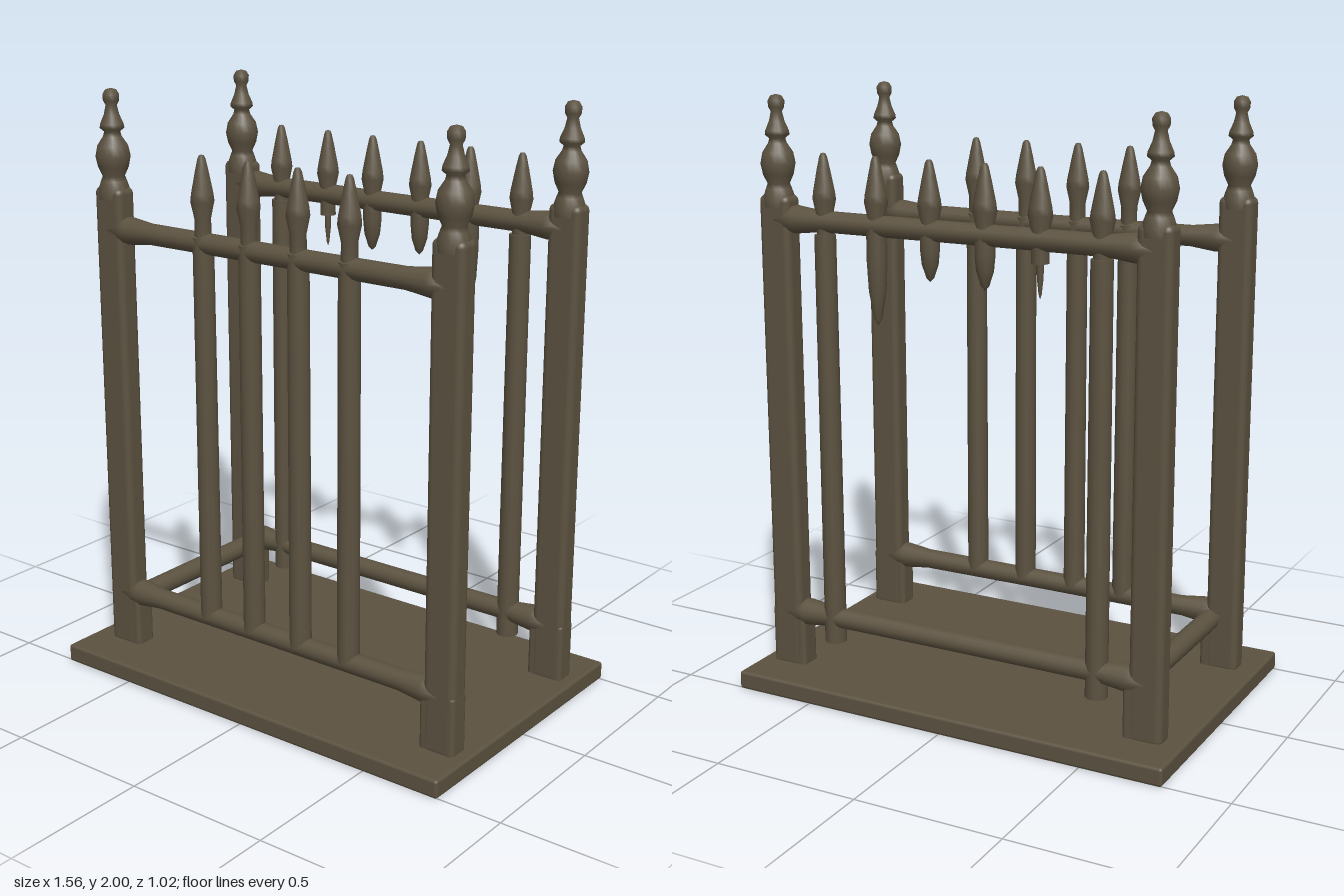
import * as THREE from 'three';
import { RoundedBoxGeometry } from 'three/addons/geometries/RoundedBoxGeometry.js';

export function createModel() {
  const group = new THREE.Group();
  const iron = new THREE.MeshStandardMaterial({ color: 0x5c5240 });
  iron.name = 'dark bronze';

  const add = (name, geometry, x, y, z) => {
    const mesh = new THREE.Mesh(geometry, iron);
    mesh.name = name;
    mesh.position.set(x, y, z);
    group.add(mesh);
    return mesh;
  };
  const lathe = (pairs, sides) =>
    new THREE.LatheGeometry(pairs.map(([r, y]) => new THREE.Vector2(r, y)), sides);

  const LEFT = 0.68, RIGHT = -0.655, DEPTH = 0.325;

  // Base slab
  add('base', new RoundedBoxGeometry(1.56, 0.062, 1.02, 2, 0.01), 0, 0.034, 0);

  // Corner posts with a wider foot and a turned finial
  const post = new RoundedBoxGeometry(0.115, 1.63, 0.08, 3, 0.022);
  const foot = new RoundedBoxGeometry(0.128, 0.22, 0.078, 3, 0.015);
  const finial = lathe([
    [0.05, 1.64], [0.052, 1.67], [0.042, 1.70], [0.036, 1.715], [0.05, 1.745], [0.057, 1.78],
    [0.05, 1.815], [0.03, 1.845], [0.026, 1.86], [0.04, 1.872], [0.038, 1.885], [0.025, 1.915],
    [0.018, 1.945], [0.026, 1.96], [0.027, 1.98], [0.018, 1.995], [0, 2.0],
  ], 16);
  for (const x of [RIGHT, LEFT]) {
    for (const z of [DEPTH, -DEPTH]) {
      add('post', post, x, 0.865, z);
      add('postFoot', foot, x + (x < 0 ? 0.012 : -0.006), 0.155, z);
      add('finial', finial, x, 0, z);
    }
  }

  // Rails, flared where they meet the posts
  const half = (LEFT - RIGHT) / 2;
  const rail = lathe([
    [0, -half], [0.04, -half], [0.046, -half + 0.07], [0.035, -half + 0.16],
    [0.034, 0], [0.035, half - 0.16], [0.046, half - 0.07], [0.04, half], [0, half],
  ], 14);
  const addRail = (name, y, z) => {
    add(name, rail, (LEFT + RIGHT) / 2, y, z).rotation.z = -Math.PI / 2;
  };
  addRail('frontTopRail', 1.54, DEPTH);
  addRail('frontBottomRail', 0.25, DEPTH);
  addRail('backTopRail', 1.602, -DEPTH);
  addRail('backBottomRail', 0.25, -DEPTH);

  // Single low cross rail on the right side
  const cross = new THREE.CylinderGeometry(0.035, 0.035, 2 * DEPTH, 14);
  add('sideRail', cross, -0.612, 0.233, 0).rotation.x = Math.PI / 2;

  // Pickets and their spear points
  const spear = lathe([
    [0.028, 1.53], [0.027, 1.62], [0.039, 1.675], [0.036, 1.70],
    [0.022, 1.77], [0.013, 1.81], [0.008, 1.82], [0, 1.822],
  ], 10);
  const addPicket = (x, z, bottom) => {
    const top = 1.56;
    add('picket', new THREE.CylinderGeometry(0.035, 0.037, top - bottom, 12), x, (top + bottom) / 2, z);
    add('spearPoint', spear, x, 0, z);
  };
  for (const x of [-0.27, -0.08, 0.115, 0.31]) addPicket(x, DEPTH, 0.25);
  for (const x of [-0.475, 0.505]) addPicket(x, -DEPTH, 0.165);

  // Broken back pickets: tapering stubs hanging under the top rail
  const stubs = [[-0.27, 1.42, 0.012], [-0.08, 1.43, 0.033], [0.115, 1.44, 0.032], [0.31, 1.28, 0.034]];
  for (const [x, bottom, r] of stubs) {
    const span = 1.6 - bottom;
    add('brokenPicket', lathe([
      [0, bottom], [r * 0.4, bottom + span * 0.08], [r * 0.85, bottom + span * 0.35],
      [r, bottom + span * 0.65], [r, 1.6],
    ], 10), x, 0, -DEPTH);
    add('spearPoint', spear, x, 0, -DEPTH);
  }

  return group;
}
